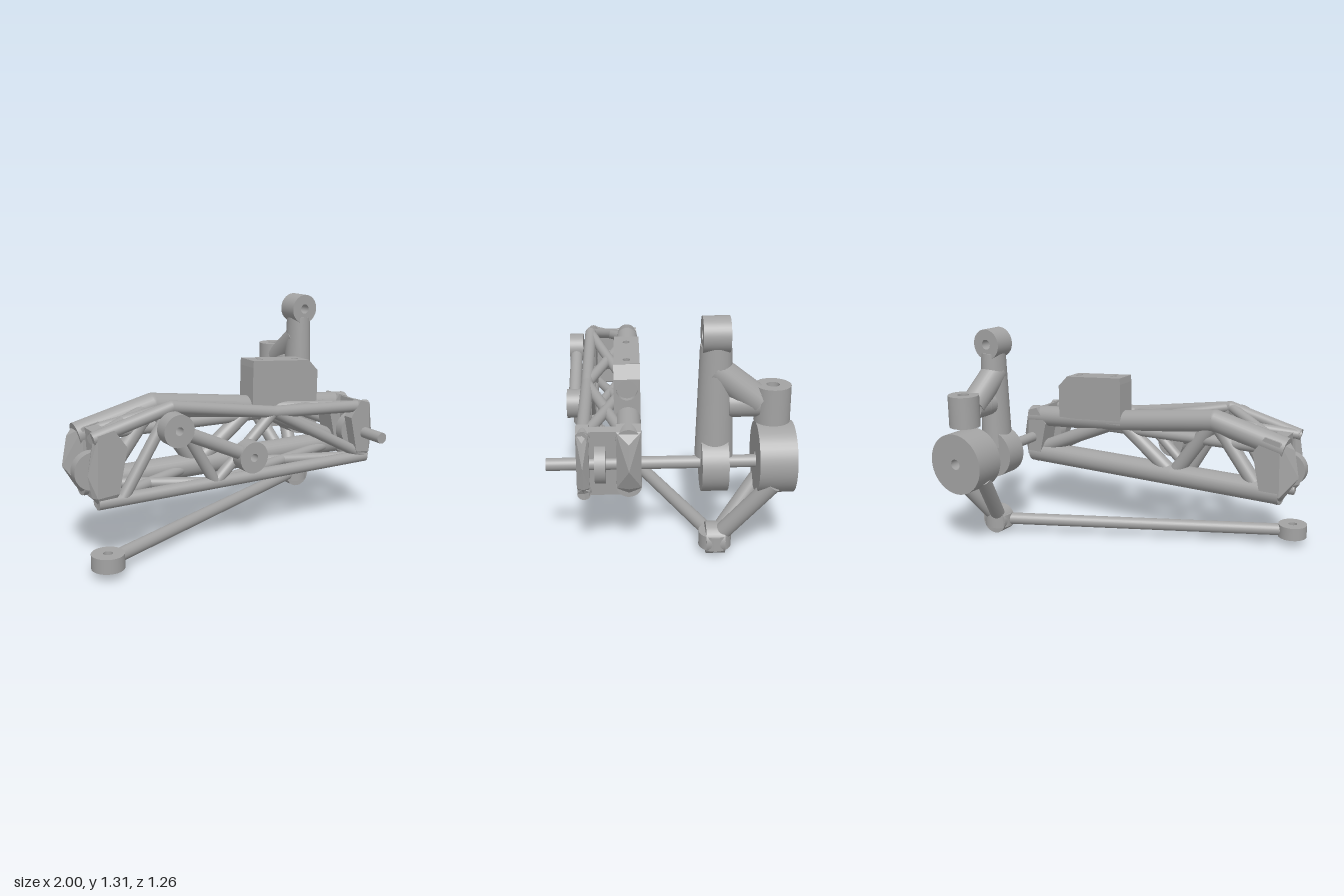
import * as THREE from 'three';
import { ConvexGeometry } from 'three/addons/geometries/ConvexGeometry.js';

export function createModel() {
  const model = new THREE.Group();
  const grey = new THREE.MeshStandardMaterial({ color: 0xa3a3a3 });
  grey.name = 'plain grey';
  const V = (x, y, z) => new THREE.Vector3(x, y, z);

  const add = (name, geo, parent = model) => {
    const m = new THREE.Mesh(geo, grey);
    m.name = name;
    parent.add(m);
    return m;
  };
  const group = (name) => {
    const g = new THREE.Group();
    g.name = name;
    model.add(g);
    return g;
  };
  // Round bar between two points, optionally tapered
  const rod = (name, a, b, r, parent, rEnd = r) => {
    const d = b.clone().sub(a);
    const m = add(name, new THREE.CylinderGeometry(rEnd, r, d.length(), 28), parent);
    m.position.copy(a).add(b).multiplyScalar(0.5);
    m.quaternion.setFromUnitVectors(V(0, 1, 0), d.normalize());
    return m;
  };
  // Bent bar with rounded joints
  const rail = (name, pts, r, parent) => {
    for (let i = 0; i < pts.length - 1; i++) {
      rod(name, pts[i], pts[i + 1], r, parent);
      if (i) add(name + 'Joint', new THREE.SphereGeometry(r, 24, 16), parent).position.copy(pts[i]);
    }
  };
  // Pierced disc along z, or along y when upright
  const eye = (name, c, r, hole, len, upright, parent) => {
    const h = len / 2;
    const p = [[hole, -h], [r, -h], [r, h], [hole, h], [hole, -h]];
    const pts = [];
    // doubled corners keep the rims sharp
    p.forEach(([x, y], i) => {
      pts.push(new THREE.Vector2(x, y));
      if (i && i < 4) pts.push(new THREE.Vector2(x, y));
    });
    const m = add(name, new THREE.LatheGeometry(pts, 40), parent);
    m.position.copy(c);
    if (!upright) m.rotation.x = Math.PI / 2;
    return m;
  };
  const hull = (name, pts, parent) => add(name, new ConvexGeometry(pts), parent);

  // Lower track link
  const link = group('trackLink');
  const linkEnd = V(-0.88, 0.085, 0.515), pivot = V(0.825, 0.085, -0.24);
  eye('linkEye', linkEnd, 0.088, 0.025, 0.08, true, link);
  const along = pivot.clone().sub(linkEnd).normalize();
  rod('linkRod', linkEnd.clone().addScaledVector(along, 0.06), pivot, 0.037, link);
  rod('linkPivot', V(0.825, 0.045, -0.24), V(0.825, 0.125, -0.24), 0.087, link);
  rod('forkPivot', V(0.825, 0.085, -0.29), V(0.825, 0.085, -0.19), 0.085, link);

  // Wheel hub and forked steering arm
  const hub = group('wheelHub');
  eye('hubDisc', V(0.815, 0.55, -0.535), 0.185, 0.032, 0.19, false, hub);
  for (const s of [-1, 1])
    rod('forkArm', V(0.825 + s * 0.012, 0.1, -0.255), V(0.82 + s * 0.115, 0.45, -0.52), 0.045, hub);

  // Upright with eyes at both ends
  const upright = group('upright');
  eye('topEye', V(0.825, 1.215, -0.223), 0.092, 0.03, 0.135, false, upright);
  eye('bottomEye', V(0.825, 0.53, -0.223), 0.15, 0.03, 0.135, false, upright);
  const beam = rod('uprightBeam', V(0.825, 0.575, -0.224), V(0.825, 1.16, -0.224), 0.09, upright, 0.072);
  beam.scale.z = 1.1;
  eye('steeringSocket', V(0.825, 0.855, -0.515), 0.092, 0.034, 0.19, true, upright);
  rod('upperStrut', V(0.825, 1.04, -0.215), V(0.825, 0.865, -0.44), 0.078, upright);
  rod('lowerStrut', V(0.825, 0.855, -0.29), V(0.825, 0.855, -0.445), 0.072, upright);
  add('strutKnuckle', new THREE.SphereGeometry(0.073, 24, 16), upright).position.set(0.825, 0.855, -0.345);

  // Axle
  rod('axle', V(0.828, 0.532, 0.635), V(0.828, 0.532, -0.46), 0.033);

  // Truss frame: four long rails
  const frame = group('trussFrame');
  const zB = 0.212, zF = 0.445;
  const topX = [-0.92, -0.47, 0.18, 0.86];
  const topBack = [0.69, 0.8, 0.715, 0.665].map((y, i) => V(topX[i], y, zB));
  const topFront = [0.72, 0.835, 0.73, 0.69].map((y, i) => V(topX[i], y, zF));
  const botX = [-0.9, -0.2, 0.86];
  const botBack = botX.map((x) => V(x, 0.42, zB));
  const botFront = botX.map((x) => V(x, 0.375, zF));
  rail('topBackRail', topBack, 0.067, frame);
  rail('topFrontRail', topFront, 0.035, frame);
  rail('bottomBackRail', botBack, 0.067, frame);
  rail('bottomFrontRail', botFront, 0.035, frame);
  rail('innerRail', [V(-0.8, 0.68, zB), V(0.8, 0.66, zB)], 0.035, frame);

  // Zigzag bracing on both sides
  for (const [top, bot, r] of [[topBack, botBack, 0.045], [topFront, botFront, 0.032]]) {
    const path = [V(-0.76, bot[0].y, bot[0].z), top[1], bot[1], top[2], bot[2]];
    for (let i = 0; i < 4; i++) rod('sideBrace', path[i], path[i + 1], r, frame);
  }
  // Crossed bracing on top and bottom
  for (const [back, front] of [[topBack, topFront], [botBack, botFront]])
    for (let i = 0; i < back.length - 1; i++) {
      rod('crossBrace', back[i], front[i + 1], 0.03, frame);
      rod('crossBrace', front[i], back[i + 1], 0.03, frame);
    }

  // Faceted end posts, with a recessed web between them
  const ends = [
    { s: -1, top: 0.76, x: 0.92, tip: 1.0, in: 0.72 },
    { s: 1, top: 0.735, x: 0.875, tip: 0.935, in: 0.7 },
  ];
  for (const e of ends) {
    const g = group(e.s < 0 ? 'rightEnd' : 'leftEnd');
    const X = (x) => x * e.s;
    for (const [z0, z1, tip] of [[0.147, 0.275, e.tip], [0.415, 0.48, e.x + 0.03]]) {
      const zm = (z0 + z1) / 2;
      const pts = [V(X(tip), 0.53, zm), V(X(tip - 0.03), e.top - 0.07, zm), V(X(e.x + 0.01), 0.41, zm)];
      for (const z of [z0, z1])
        pts.push(V(X(e.x - 0.02), e.top - 0.02, z), V(X(e.in + 0.09), e.top, z),
          V(X(e.in + 0.02), e.top - 0.1, z), V(X(e.in + 0.07), 0.42, z),
          V(X(e.in + 0.09), 0.36, zm), V(X(e.x - 0.04), 0.345, zm), V(X(e.x - 0.01), 0.41, z));
      hull('endPost', pts, g);
    }
    const web = [];
    for (const z of [0.2, 0.45])
      web.push(V(X(e.x - 0.03), e.top - 0.02, z), V(X(e.in + 0.1), e.top - 0.01, z),
        V(X(e.x - 0.05), 0.35, z), V(X(e.in + 0.1), 0.37, z));
    hull('endWeb', web, g);
    eye('axleBearing', V(X(e.s < 0 ? 0.895 : 0.828), 0.532, 0.358), 0.102, 0.03, 0.055, false, g);
  }

  // Rocker link on the front side
  const rocker = group('rockerLink');
  const a = V(-0.49, 0.735, 0.536), b = V(-0.03, 0.525, 0.536);
  const dir = b.clone().sub(a).normalize();
  for (const c of [a, b]) eye('rockerEye', c, 0.088, 0.023, 0.085, false, rocker);
  rod('rockerRod', a.clone().addScaledVector(dir, 0.06), b.clone().addScaledVector(dir, -0.06), 0.038, rocker);

  // Servo-like box with a pierced lid and a round socket in its end
  const box = group('mountBox');
  const extrude = (pts, depth, holes = []) => {
    const s = new THREE.Shape(pts.map(([x, y]) => new THREE.Vector2(x, y)));
    for (const [x, y, r] of holes) s.holes.push(new THREE.Path().absarc(x, y, r, 0, Math.PI * 2, true));
    return new THREE.ExtrudeGeometry(s, { depth, bevelEnabled: false, curveSegments: 20 });
  };
  add('boxBody', extrude([[0.145, 0.7], [0.575, 0.7], [0.575, 0.905], [0.605, 0.905],
    [0.54, 0.972], [0.54, 0.932], [0.145, 0.96]], 0.14), box).position.z = 0.146;
  const lid = add('boxLid', extrude([[0, -0.07], [0.396, -0.07], [0.396, 0.07], [0, 0.07]], 0.04,
    [[0.085, 0, 0.02], [0.34, 0, 0.02]]), box);
  lid.rotation.set(-Math.PI / 2, 0, 0);
  lid.rotation.order = 'ZXY';
  lid.rotation.z = -0.071;
  lid.position.set(0.145, 0.96, 0.216);
  const end = add('boxSocket', extrude([[-0.07, 0.7], [0.07, 0.7], [0.07, 0.905], [-0.07, 0.905]], 0.03,
    [[0, 0.845, 0.056]]), box);
  end.rotation.y = Math.PI / 2;
  end.position.set(0.575, 0, 0.216);

  return model;
}
